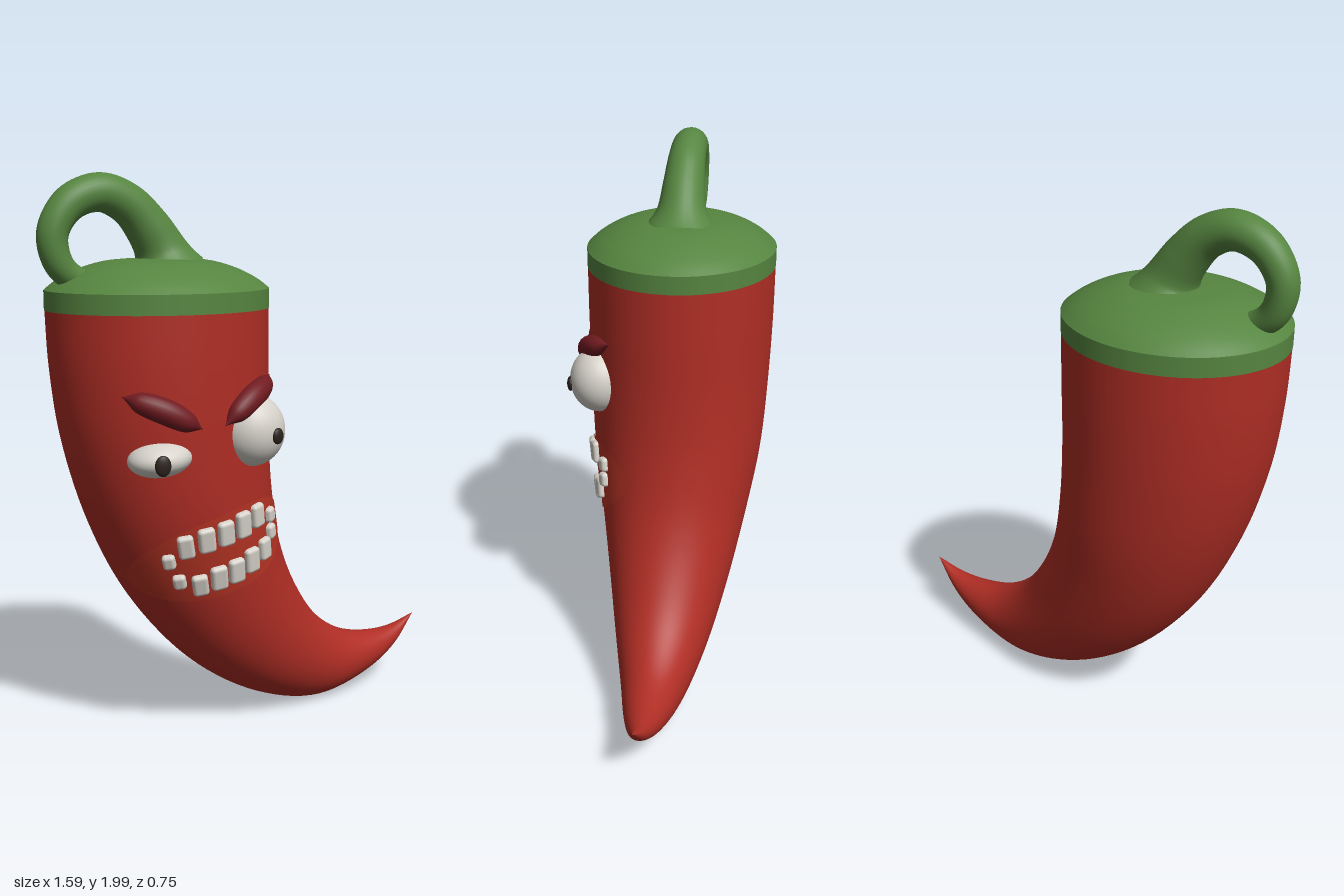
import * as THREE from 'three';
import { RoundedBoxGeometry } from 'three/addons/geometries/RoundedBoxGeometry.js';

const paint = (name, color) => Object.assign(new THREE.MeshStandardMaterial({ color }), { name });
const V = (x, y, z = 0) => new THREE.Vector3(x, y, z);
const ZC = -0.025; // middle of the body in depth

// Skin between closed rings of equal point count
function loft(rings) {
  const n = rings[0].length, index = [];
  for (let i = 0; i < rings.length - 1; i++) {
    for (let j = 0; j < n; j++) {
      const a = i * n + j, b = i * n + (j + 1) % n;
      index.push(a, b, a + n, b, b + n, a + n);
    }
  }
  const g = new THREE.BufferGeometry().setFromPoints(rings.flat());
  g.setIndex(index);
  g.computeVertexNormals();
  return g;
}

// Round tube of changing radius along a smooth path; each point is [x, y, z, radius]
function sweep(points, steps, sides) {
  const path = new THREE.CatmullRomCurve3(points.map(p => V(p[0], p[1], p[2])));
  const radius = new THREE.SplineCurve(points.map((p, i) => new THREE.Vector2(i, p[3])));
  const rings = [];
  for (let i = 0; i <= steps; i++) {
    const t = i / steps, c = path.getPoint(t), T = path.getTangent(t), r = Math.max(radius.getPoint(t).y, 0.0005);
    const N = V(0, 0, 1).cross(T).normalize(), B = T.clone().cross(N);
    rings.push(Array.from({ length: sides }, (_, j) => {
      const a = j / sides * Math.PI * 2;
      return c.clone().addScaledVector(N, r * Math.cos(a)).addScaledVector(B, r * Math.sin(a));
    }));
  }
  return loft(rings);
}

// Body outline: outer side, inner side and half depth (kept in z) of each cross-section
const outer = new THREE.CatmullRomCurve3([
  V(-0.755, 1.55, 0.35), V(-0.745, 1.35, 0.348), V(-0.71, 1.1, 0.34), V(-0.62, 0.8, 0.322), V(-0.48, 0.52, 0.28),
  V(-0.25, 0.25, 0.228), V(0.02, 0.075, 0.175), V(0.29, 0.005, 0.122), V(0.54, 0.06, 0.077), V(0.68, 0.137, 0.04), V(0.79, 0.25, 0.0005)]);
const inner = new THREE.CatmullRomCurve3([
  V(0.035, 1.55), V(0.035, 1.35), V(0.035, 1.13), V(0.05, 0.9), V(0.095, 0.68),
  V(0.18, 0.49), V(0.29, 0.34), V(0.42, 0.25), V(0.56, 0.215), V(0.68, 0.217), V(0.791, 0.251)]);

// Point of the body at section t, u = -1..1 from outer to inner side, w = depth factor
function bodyPoint(t, u, w) {
  const o = outer.getPoint(t), i = inner.getPoint(t);
  return V((o.x + i.x) / 2 + (i.x - o.x) / 2 * u, (o.y + i.y) / 2 + (i.y - o.y) / 2 * u, ZC + o.z * w);
}

// Front surface of the body at (x, y), optionally lifted off it
function onBody(x, y, lift = 0) {
  let lo = 0, hi = 0.8;
  for (let k = 0; k < 30; k++) {
    const t = (lo + hi) / 2, o = outer.getPoint(t), i = inner.getPoint(t);
    if ((i.x - o.x) * (y - o.y) - (i.y - o.y) * (x - o.x) < 0) lo = t; else hi = t;
  }
  const o = outer.getPoint(lo), d = inner.getPoint(lo).sub(o).setZ(0);
  const u = THREE.MathUtils.clamp(2 * ((x - o.x) * d.x + (y - o.y) * d.y) / d.lengthSq() - 1, -1, 1);
  return bodyPoint(lo, u * (1 + lift), Math.sqrt(1 - u * u) * (1 + lift));
}

export function createModel() {
  const red = paint('pepper red', 0xb02e25), mouthRed = paint('mouth red', 0xb63424);
  const green = paint('stem green', 0x568540), browRed = paint('brow dark red', 0x701b21);
  const white = paint('ivory white', 0xd6d2ca), dark = paint('pupil dark', 0x2a211b);
  const model = new THREE.Group();
  const add = (name, geometry, material, parent = model) => {
    const mesh = new THREE.Mesh(geometry, material);
    mesh.name = name;
    parent.add(mesh);
    return mesh;
  };

  // Curved body
  const rings = [];
  for (let i = 0; i <= 70; i++) {
    rings.push(Array.from({ length: 72 }, (_, j) => {
      const a = j / 72 * Math.PI * 2;
      return bodyPoint(i / 70, Math.cos(a), Math.sin(a));
    }));
  }
  add('body', loft(rings), red);

  // Green cap: straight band, then a low dome
  const band = new THREE.LatheGeometry([[1.003, 1.545], [1.003, 1.612]].map(p => new THREE.Vector2(...p)), 72);
  const dome = new THREE.LatheGeometry(
    new THREE.SplineCurve([[1.003, 1.612], [0.88, 1.648], [0.68, 1.685], [0.42, 1.71], [0, 1.718]]
      .map(p => new THREE.Vector2(...p))).getPoints(16), 72);
  for (const [name, g] of [['capBand', band], ['capDome', dome]]) {
    g.scale(0.395, 1, 0.35).translate(-0.36, 0, ZC);
    add(name, g, green);
  }

  // Curled stem, flared at the base
  add('stem', sweep([
    [-0.33, 1.68, ZC, 0.135], [-0.35, 1.745, ZC, 0.092], [-0.4, 1.825, ZC, 0.078], [-0.47, 1.897, ZC, 0.07],
    [-0.57, 1.935, ZC, 0.065], [-0.68, 1.898, ZC, 0.059], [-0.742, 1.8, ZC, 0.053], [-0.718, 1.695, ZC, 0.049],
    [-0.64, 1.643, ZC, 0.042], [-0.56, 1.665, ZC, 0.03], [-0.5, 1.695, ZC, 0.001]], 80, 28), green);

  // Eyes: one wide open, one squinting
  const eyes = [
    ['wideEye', [-0.152, 1.14, 0.255], [0.118, 0.125, 0.112], 0, [-0.11, 1.13, 0.36], [0.024, 0.028, 0.012], 0.25],
    ['squintEye', [-0.5, 1.073, 0.25], [0.11, 0.06, 0.1], 0.08, [-0.535, 1.067, 0.343], [0.027, 0.035, 0.012], -0.25]];
  for (const [name, at, size, tilt, pupilAt, pupilSize, turn] of eyes) {
    const ball = add(name, new THREE.SphereGeometry(1, 40, 28), white);
    ball.position.set(...at);
    ball.scale.set(...size);
    ball.rotation.z = tilt;
    const pupil = add(name + 'Pupil', new THREE.SphereGeometry(1, 20, 14), dark);
    pupil.position.set(...pupilAt);
    pupil.scale.set(...pupilSize);
    pupil.rotation.y = turn;
  }

  // Slanted brows that follow the body
  const brows = {
    rightBrow: [[-0.625, 1.285], [-0.58, 1.268], [-0.505, 1.237], [-0.43, 1.197], [-0.38, 1.172]],
    leftBrow: [[-0.295, 1.175], [-0.245, 1.213], [-0.175, 1.257], [-0.1, 1.29], [-0.045, 1.318]]
  };
  const browRadius = [0.001, 0.034, 0.043, 0.034, 0.001];
  for (const [name, line] of Object.entries(brows)) {
    add(name, sweep(line.map(([x, y], i) => [x, y, onBody(x, y).z + 0.012, browRadius[i]]), 28, 20), browRed);
  }

  // Mouth: tilted rounded patch lying on the body
  const tilt = 0.3, power = 2 / 2.3, mouthRings = [];
  for (let k = 12; k >= 0; k--) {
    const s = Math.max(k / 12, 0.001);
    mouthRings.push(Array.from({ length: 64 }, (_, j) => {
      const a = j / 64 * Math.PI * 2, c = Math.cos(a), n = Math.sin(a);
      const px = s * 0.292 * Math.sign(c) * Math.abs(c) ** power, py = s * 0.15 * Math.sign(n) * Math.abs(n) ** power;
      return onBody(-0.255 + px * Math.cos(tilt) - py * Math.sin(tilt),
        0.722 + px * Math.sin(tilt) + py * Math.cos(tilt), 0.014);
    }));
  }
  add('mouth', loft(mouthRings), mouthRed);

  // Teeth: [x, y, width, height], upper row then lower row
  const rows = {
    upperTeeth: [[-0.452, 0.71, 0.045, 0.055], [-0.41, 0.765, 0.056, 0.085], [-0.345, 0.785, 0.06, 0.09], [-0.277, 0.802, 0.06, 0.09],
      [-0.208, 0.822, 0.06, 0.095], [-0.142, 0.842, 0.058, 0.085], [-0.067, 0.826, 0.046, 0.055]],
    lowerTeeth: [[-0.41, 0.633, 0.046, 0.055], [-0.345, 0.618, 0.056, 0.08], [-0.285, 0.64, 0.06, 0.09], [-0.222, 0.658, 0.06, 0.09],
      [-0.16, 0.685, 0.06, 0.09], [-0.098, 0.712, 0.056, 0.08], [-0.062, 0.765, 0.046, 0.055]]
  };
  for (const [name, row] of Object.entries(rows)) {
    const group = new THREE.Group();
    group.name = name;
    model.add(group);
    for (const [x, y, w, h] of row) {
      const p = onBody(x, y), e = 0.01;
      const normal = V(p.z - onBody(x + e, y).z, p.z - onBody(x, y + e).z, e).normalize();
      const tooth = add('tooth', new RoundedBoxGeometry(w, h, 0.05, 3, 0.014), white, group);
      tooth.position.copy(p);
      tooth.lookAt(p.clone().add(normal));
      tooth.rotateZ(0.15);
    }
  }
  return model;
}
